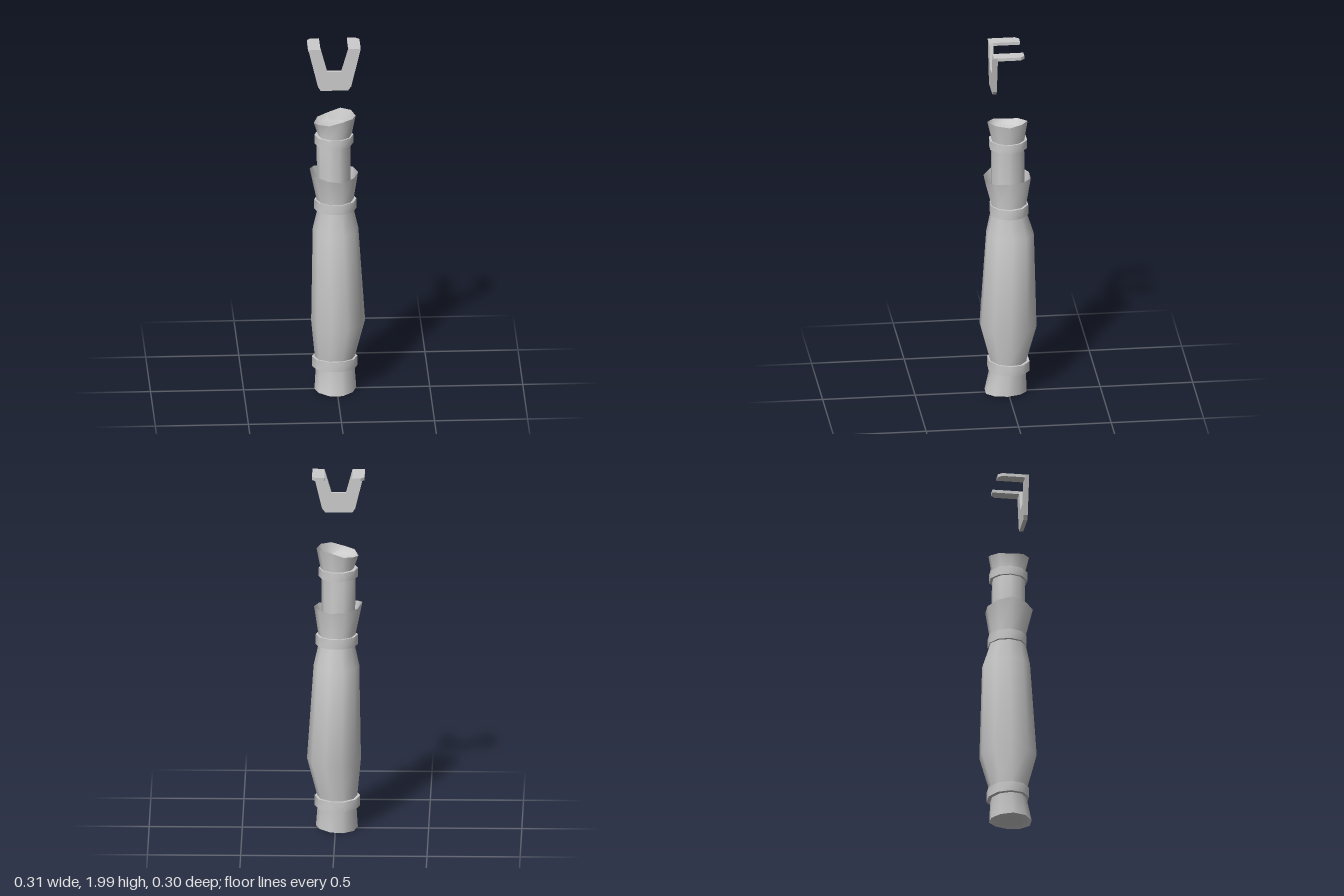
import * as THREE from 'three';
import { toCreasedNormals, mergeVertices } from 'three/addons/utils/BufferGeometryUtils.js';

const SIDES = 10;
const material = new THREE.MeshStandardMaterial({ color: 0xcccccc, side: THREE.DoubleSide });

// Ring given by its extents: [y, xMin, xMax, zMin, zMax, optional height offset per corner]
// Consecutive rings are skinned from the bottom up.
function loft(rings, crease = 0.8) {
  const pos = [], index = [];
  for (const [y, x0, x1, z0, z1, dy] of rings) {
    const top = Math.sin(Math.PI * 0.4); // highest sine reached by a ten-sided ring
    for (let j = 0; j < SIDES; j++) {
      const a = (j / SIDES) * Math.PI * 2;
      pos.push(
        (x0 + x1) / 2 + Math.cos(a) * (x1 - x0) / 2,
        y + (dy ? dy[j] : 0),
        (z0 + z1) / 2 + Math.sin(a) * (z1 - z0) / 2 / top
      );
    }
  }
  for (let i = 0; i < rings.length - 1; i++) {
    for (let j = 0; j < SIDES; j++) {
      const k = (j + 1) % SIDES;
      const a = i * SIDES + j, d = i * SIDES + k, c = a + SIDES, e = d + SIDES;
      index.push(d, a, c, d, c, e);
    }
  }
  const g = new THREE.BufferGeometry();
  g.setAttribute('position', new THREE.Float32BufferAttribute(pos, 3));
  g.setIndex(index);
  return toCreasedNormals(mergeVertices(g), crease);
}

// Thin strap wrapped around the sleeve, tilted slightly along z
function strap(y0, y1, x0, x1, z0, z1, tilt = 0) {
  const t = 0.022;
  const dy = Array.from({ length: SIDES }, (_, j) => Math.sin((j / SIDES) * Math.PI * 2) * tilt);
  const inner = [x0 + t, x1 - t, z0 + t, z1 - t, dy], outer = [x0, x1, z0, z1, dy];
  return loft([[y0, ...inner], [y0, ...outer], [y1, ...outer], [y1, ...inner], [y0, ...inner]]);
}

// Flat outline extruded by depth along its own z
function plate(points, depth) {
  const shape = new THREE.Shape(points.map(([x, y]) => new THREE.Vector2(x, y)));
  return new THREE.ExtrudeGeometry(shape, { depth, bevelEnabled: false });
}

export function createModel() {
  const model = new THREE.Group();
  const add = (name, geometry, parent = model) => {
    const mesh = new THREE.Mesh(geometry, material);
    mesh.name = name;
    parent.add(mesh);
    return mesh;
  };

  // Lower sleeve: recessed base, swollen body, pinched neck, open flared collar
  add('lowerSleeve', loft([
    [0.035, -0.007, -0.007, 0.01, 0.01],
    [0.03, -0.1, 0.085, -0.085, 0.1],
    [0.008, -0.12, 0.105, -0.1, 0.12, [0.01, 0.006, 0, 0, 0.004, 0.004, 0, 0, 0.004, 0.01]],
    [0.14, -0.112, 0.096, -0.095, 0.092],
    [0.2, -0.118, 0.1, -0.1, 0.096],
    [0.4, -0.137, 0.153, -0.15, 0.148],
    [0.93, -0.128, 0.117, -0.138, 0.111],
    [1.04, -0.104, 0.092, -0.103, 0.09],
    [1.1, -0.108, 0.092, -0.098, 0.088],
    [1.25, -0.145, 0.115, -0.122, 0.124, [0.005, 0, -0.012, 0, 0.012, 0.03, 0.015, 0.004, 0, 0.006]],
  ], 1.0));

  // Inner sleeve: straight tube ending in a wavy cup
  add('upperSleeve', loft([
    [1.06, -0.102, 0.07, -0.086, 0.08],
    [1.25, -0.106, 0.074, -0.09, 0.085],
    [1.43, -0.108, 0.076, -0.088, 0.083],
    [1.475, -0.1, 0.081, -0.088, 0.085],
    [1.54, -0.123, 0.102, -0.105, 0.105, [0.04, 0.045, 0.042, 0.022, 0.016, 0.002, 0.012, 0.02, 0.046, 0.048]],
    [1.525, -0.098, 0.078, -0.088, 0.085],
    [1.515, -0.01, -0.01, 0, 0],
  ], 1.0));

  // Wrapped straps
  add('bottomStrap', strap(0.137, 0.193, -0.133, 0.112, -0.115, 0.105, 0.006));
  add('middleStrap', strap(1.045, 1.1, -0.12, 0.107, -0.108, 0.093));
  add('topStrap', strap(1.425, 1.473, -0.12, 0.09, -0.103, 0.096));

  // Floating bracket: forked front plate with two arms folded backwards
  const bracket = new THREE.Group();
  bracket.name = 'bracket';
  model.add(bracket);
  const front = plate([
    [-0.157, 2], [-0.105, 1.785], [-0.09, 1.762], [0.057, 1.762], [0.074, 1.785],
    [0.125, 2], [0.06, 2], [0.022, 1.87], [-0.055, 1.87], [-0.09, 2],
  ], 0.022);
  front.translate(0, 0, 0.067);
  add('bracketFront', front, bracket);

  for (const side of [-1, 1]) {
    const x = (u) => -0.016 + side * u;
    const arm = plate([
      [x(0.075), -0.07], [x(0.141), -0.07], [x(0.141), 0.057], [x(0.121), 0.078], [x(0.075), 0.078],
    ], 0.017);
    arm.rotateX(-Math.PI / 2).translate(0, 1.983, 0);
    add(side < 0 ? 'rightArm' : 'leftArm', arm, bracket);
  }
  return model;
}
